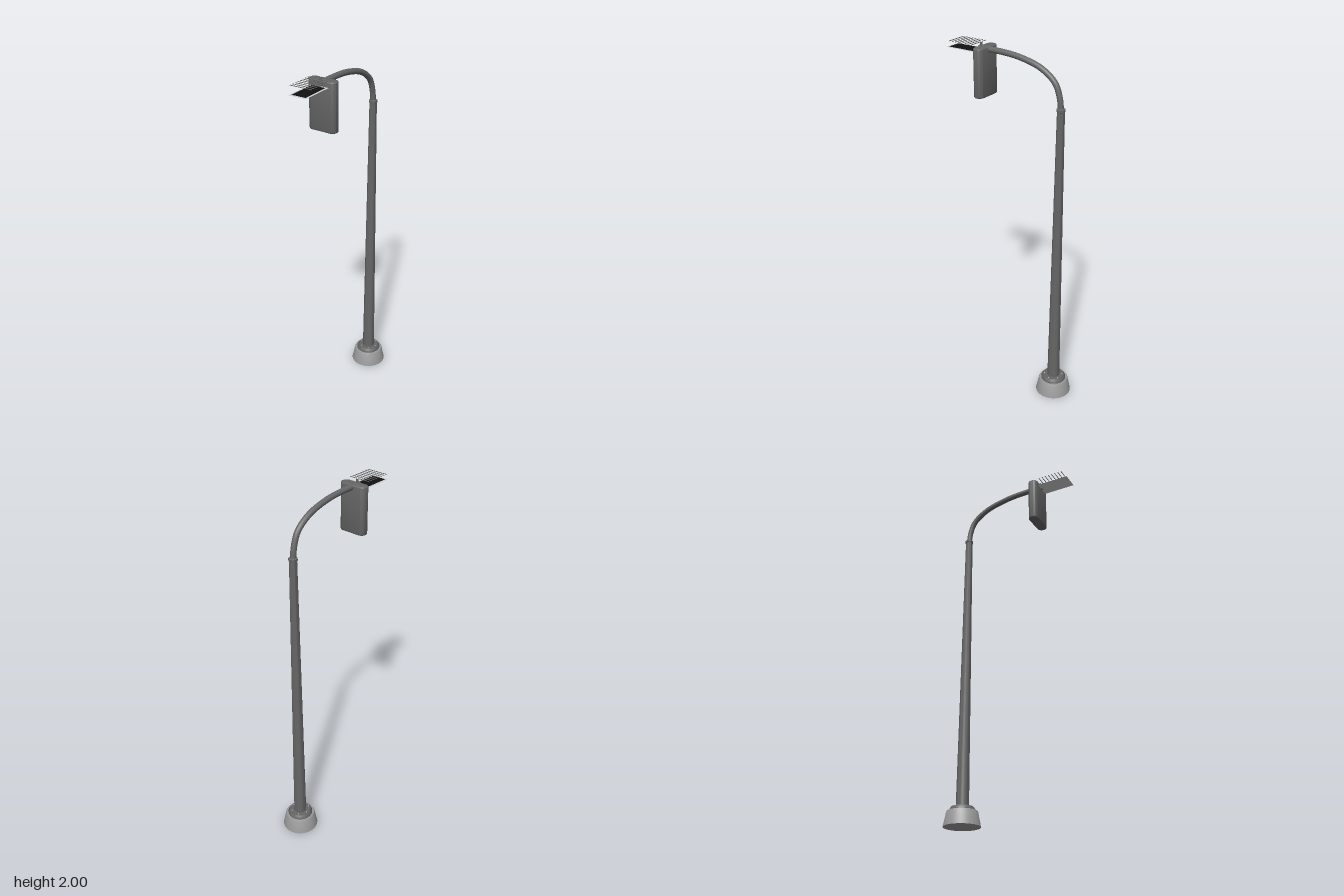
import * as THREE from 'three';
import { toCreasedNormals } from 'three/addons/utils/BufferGeometryUtils.js';

const material = (color, side = THREE.FrontSide) => new THREE.MeshStandardMaterial({ color, side });

export function createModel() {
  const model = new THREE.Group();
  const dark = material(0x666666);
  const concrete = material(0x999999);
  const light = material(0xcccccc, THREE.DoubleSide);
  const black = material(0x111111);
  const poleZ = -0.29;

  const add = (name, geometry, mat, x = 0, y = 0, z = 0, parent = model) => {
    const mesh = new THREE.Mesh(geometry, mat);
    mesh.name = name;
    mesh.position.set(x, y, z);
    parent.add(mesh);
    return mesh;
  };
  const lathe = (points, segments = 40) => toCreasedNormals(
    new THREE.LatheGeometry(points.map(([r, y]) => new THREE.Vector2(r, y)), segments), 0.6);

  // Footing and mounting flange
  add('base', lathe([[0, 0], [0.1, 0], [0.084, 0.078], [0.081, 0.083], [0.07, 0.083], [0, 0.083]]), concrete, 0, 0, poleZ);
  add('flange', lathe([[0.07, 0.08], [0.07, 0.09], [0.06, 0.105], [0, 0.105]]), dark, 0, 0, poleZ);
  const bolts = new THREE.Group();
  bolts.name = 'flangeBolts';
  model.add(bolts);
  for (let i = 0; i < 6; i++) {
    const a = i * Math.PI / 3;
    add('bolt', new THREE.CylinderGeometry(0.003, 0.003, 0.004, 6), light,
      0.051 * Math.cos(a), 0.106, poleZ + 0.051 * Math.sin(a), bolts);
  }

  // Tapered pole with a collar at the top
  add('pole', lathe([[0.035, 0.1], [0.02, 1.725], [0, 1.725]], 32), dark, 0, 0, poleZ);
  add('collar', lathe([[0.018, 1.718], [0.023, 1.722], [0.023, 1.734], [0.015, 1.738]], 32), dark, 0, 0, poleZ);

  // Curved arm
  const curve = new THREE.CatmullRomCurve3([
    [1.725, -0.29], [1.79, -0.281], [1.86, -0.252], [1.92, -0.17], [1.956, -0.04], [1.966, 0.07], [1.966, 0.212],
  ].map(([y, z]) => new THREE.Vector3(0, y, z)));
  add('arm', new THREE.TubeGeometry(curve, 48, 0.0155, 16), dark);
  add('armEndCap', new THREE.CircleGeometry(0.0155, 16), dark, 0, 1.966, 0.212);

  // Upright lamp housing: rounded plan extruded upward
  const w = 0.074, d = 0.023, r = 0.022, bevel = 0.006;
  const plan = new THREE.Shape();
  plan.absarc(w - r, d - r, r, 0, Math.PI / 2);
  plan.absarc(-w + r, d - r, r, Math.PI / 2, Math.PI);
  plan.absarc(-w + r, -d + r, r, Math.PI, Math.PI * 1.5);
  plan.absarc(w - r, -d + r, r, Math.PI * 1.5, Math.PI * 2);
  const housing = new THREE.ExtrudeGeometry(plan, {
    depth: 0.26 - 2 * bevel, bevelThickness: bevel, bevelSize: bevel, bevelSegments: 3, curveSegments: 8,
  });
  housing.rotateX(-Math.PI / 2);
  add('lampHousing', toCreasedNormals(housing, 0.6), dark, 0, 1.72 + bevel, 0.176);

  // Small stud on top of the arm end
  add('stud', new THREE.CylinderGeometry(0.006, 0.006, 0.03, 12), dark, 0, 1.982, 0.198);
  add('studCap', new THREE.CylinderGeometry(0.004, 0.006, 0.004, 12), light, 0, 1.998, 0.198);

  // Thin solar panel in front of the housing
  const sheet = (width, length) => new THREE.PlaneGeometry(width, length).rotateX(-Math.PI / 2);
  add('solarPanelFrame', sheet(0.1, 0.19), light, 0, 1.953, 0.295);
  add('solarPanelCells', sheet(0.08, 0.162), black, 0, 1.9545, 0.299);

  // Row of thin bars above the panel
  const bars = new THREE.Group();
  bars.name = 'panelBars';
  model.add(bars);
  for (let i = 0; i < 8; i++) {
    add('bar', new THREE.CylinderGeometry(0.002, 0.002, 0.124, 8).rotateZ(Math.PI / 2), dark,
      0, 1.991, 0.217 + i * 0.0204, bars);
  }
  return model;
}
